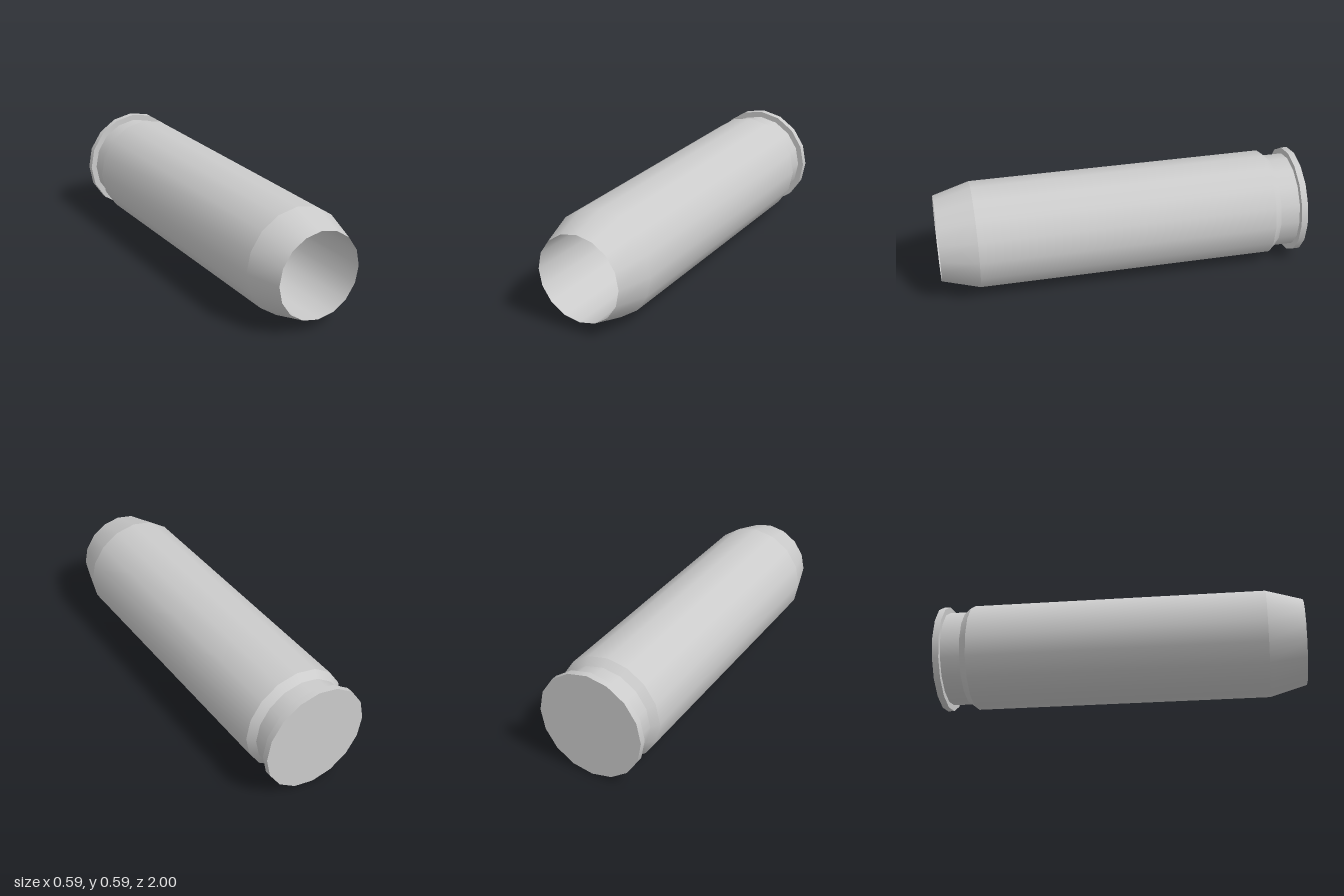
import * as THREE from 'three';

const SIDES = 16;
const CENTRE_Y = 0.293;

export function createModel() {
  const group = new THREE.Group();
  group.name = 'casing';
  const material = new THREE.MeshStandardMaterial({ color: 0xcccccc });

  // Ring of [radius, z] points turned about the z axis. Points running
  // from back to front face outward, front to back face inward.
  function turned(name, points) {
    const profile = points.map(([r, z]) => new THREE.Vector2(r, z));
    const geometry = new THREE.LatheGeometry(profile, SIDES);
    geometry.rotateX(Math.PI / 2);
    const mesh = new THREE.Mesh(geometry, material);
    mesh.name = name;
    mesh.position.y = CENTRE_Y;
    group.add(mesh);
  }

  // Outer shell from back to front, one mesh per band to keep edges sharp
  turned('base', [[0, -1], [0.293, -1]]);
  turned('rimEdge', [[0.293, -1], [0.293, -0.965]]);
  turned('rimShoulder', [[0.293, -0.965], [0.26, -0.965]]);
  turned('groove', [[0.26, -0.965], [0.26, -0.86]]);
  turned('bevel', [[0.26, -0.86], [0.292, -0.82]]);
  turned('body', [[0.292, -0.82], [0.292, 0.8]]);
  turned('taperedMouth', [[0.292, 0.8], [0.235, 1]]);

  // Hollow inside with a softly shaded floor
  turned('cavity', [[0.235, 1], [0.235, -0.8], [0, -0.8]]);

  return group;
}
